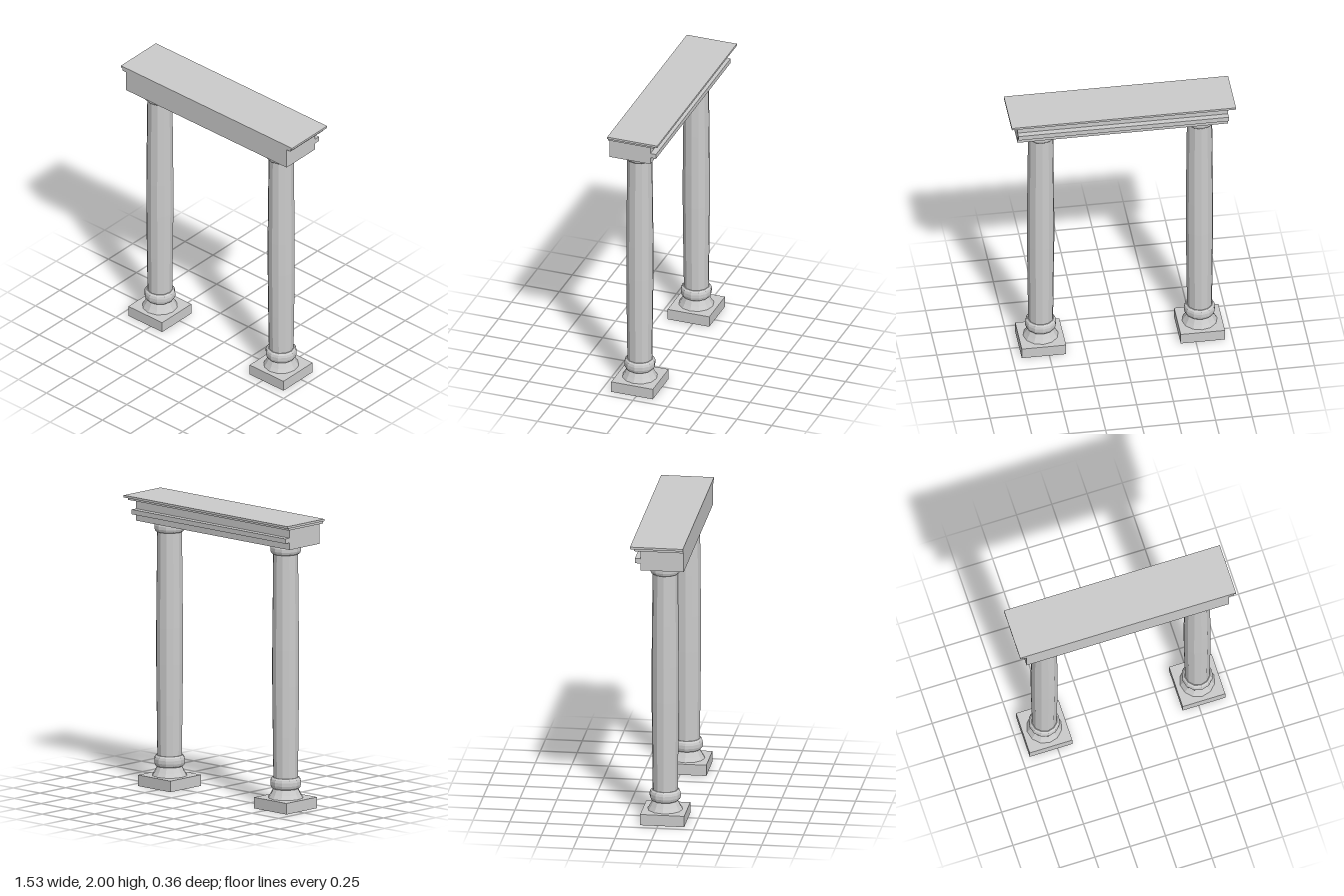
import * as THREE from 'three';

const SIDES = 12;
const FRONT = 0.18; // all courses are flush with this plane

export function createModel() {
  const model = new THREE.Group();
  model.name = 'portico';
  const material = new THREE.MeshStandardMaterial({ color: 0xcccccc, flatShading: true });

  const add = (parent, name, geometry) => {
    const mesh = new THREE.Mesh(geometry, material);
    mesh.name = name;
    parent.add(mesh);
    return mesh;
  };

  // Box given by its limits
  const block = (parent, name, [x0, x1], [y0, y1], [z0, z1]) =>
    add(parent, name, new THREE.BoxGeometry(x1 - x0, y1 - y0, z1 - z0))
      .position.set((x0 + x1) / 2, (y0 + y1) / 2, (z0 + z1) / 2);

  // Faceted turned part from [radius, y] pairs
  const turned = (parent, name, profile) =>
    add(parent, name, new THREE.LatheGeometry(profile.map(([r, y]) => new THREE.Vector2(r, y)), SIDES));

  // Rounded ring between two heights
  const ring = (parent, name, y0, y1) => {
    const h = y1 - y0;
    turned(parent, name, [
      [0, y0], [0.09, y0], [0.101, y0 + h * 0.14], [0.106, y0 + h * 0.35],
      [0.106, y0 + h * 0.65], [0.101, y0 + h * 0.86], [0.09, y1], [0, y1],
    ]);
  };

  // Columns: plinth, flared foot, lower ring, swelling shaft, upper ring
  for (const [name, x] of [['rightColumn', -0.547], ['leftColumn', 0.537]]) {
    const column = new THREE.Group();
    column.name = name;
    column.position.set(x, 0, 0.03);
    block(column, 'plinth', [-0.151, 0.151], [0, 0.076], [-0.15, 0.15]);
    turned(column, 'flaredFoot', [[0.12, 0.076], [0.104, 0.103], [0.084, 0.142]]);
    ring(column, 'lowerRing', 0.14, 0.217);
    turned(column, 'shaft', [
      [0.085, 0.21], [0.089, 0.5], [0.093, 0.85], [0.093, 1.1], [0.09, 1.4], [0.086, 1.765],
    ]);
    ring(column, 'upperRing', 1.755, 1.824);
    model.add(column);
  }

  // Beam with a moulding along its back, under a stepped cornice
  const beam = new THREE.Group();
  beam.name = 'entablature';
  block(beam, 'lintel', [-0.72, 0.716], [1.823, 1.97], [-0.113, FRONT]);
  block(beam, 'backMoulding', [-0.72, 0.716], [1.872, 1.905], [-0.153, -0.113]);
  block(beam, 'lowerCornice', [-0.75, 0.75], [1.967, 1.985], [-0.153, FRONT]);
  block(beam, 'upperCornice', [-0.765, 0.765], [1.985, 2], [-0.18, FRONT]);
  model.add(beam);

  return model;
}
